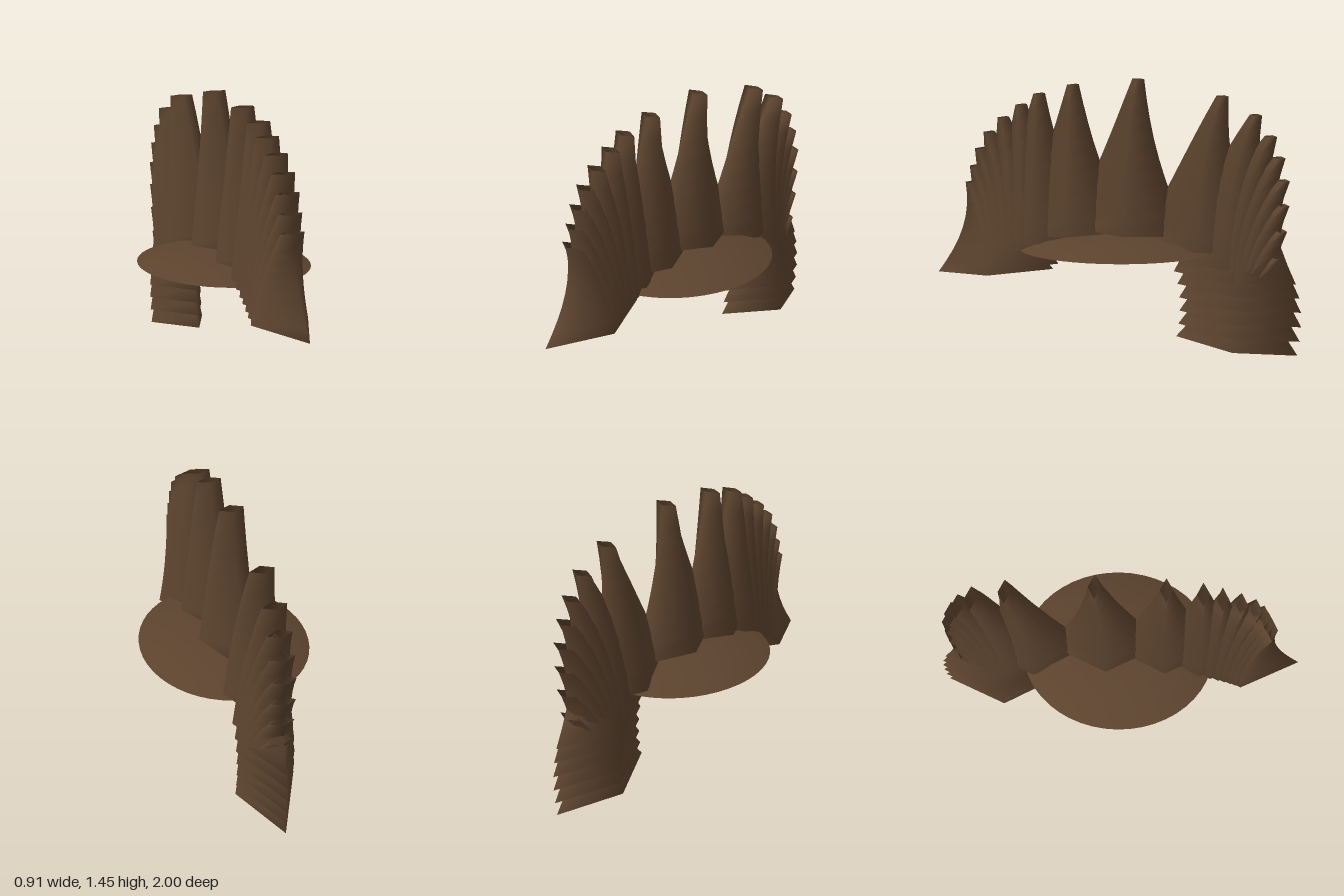
import * as THREE from 'three';
import { mergeVertices } from 'three/addons/utils/BufferGeometryUtils.js';

const brown = new THREE.MeshStandardMaterial({ color: 0x5c432e, side: THREE.DoubleSide });
brown.name = 'dark brown';

// One open, four-sided lock: a wide diamond at the base, narrowing to a blunt tip
function lockGeometry([baseZ, baseY, tipZ, tipY, tilt]) {
  const raw = new THREE.CylinderGeometry(1, 1, 1, 4, 8, true);
  raw.deleteAttribute('uv');
  raw.deleteAttribute('normal');
  const geo = mergeVertices(raw);
  const p = geo.attributes.position;
  for (let i = 0; i < p.count; i++) {
    const t = p.getY(i) + 0.5;
    const halfWidth = THREE.MathUtils.lerp(0.16, 0.065, t);
    const halfDepth = THREE.MathUtils.lerp(0.325, 0.032, t) - 0.025 * Math.sin(Math.PI * t);
    const dz = p.getZ(i) * halfDepth;
    p.setXYZ(
      i,
      p.getX(i) * halfWidth,
      THREE.MathUtils.lerp(baseY, tipY, t) - tilt * dz,
      baseZ + (tipZ - baseZ) * Math.pow(t, 2.2) + dz
    );
  }
  geo.computeVertexNormals();
  return geo;
}

// Each row: base z, base y, tip z, tip y, forward tilt
const frontLocks = [
  [0.25, 0.62, 0.235, 1.42, 0.06],
  [0.44, 0.575, 0.42, 1.37, 0.06],
  [0.5, 0.54, 0.52, 1.31, 0.06],
  [0.545, 0.51, 0.62, 1.24, 0.06],
  [0.58, 0.485, 0.7, 1.16, 0.06],
  [0.615, 0.455, 0.75, 1.07, 0.06],
  [0.645, 0.43, 0.78, 0.975, 0.06],
  [0.675, 0.4, 0.805, 0.885, 0.06],
];
const middleLock = [[-0.065, 0.636, -0.118, 1.453, -0.05]];
const rearLocks = [
  [-0.455, 0.565, -0.565, 1.37, -0.07],
  [-0.6, 0.48, -0.74, 1.275, -0.07],
  [-0.638, 0.41, -0.82, 1.165, -0.07],
  [-0.658, 0.34, -0.865, 1.055, -0.08],
  [-0.668, 0.265, -0.89, 0.935, -0.085],
  [-0.67, 0.19, -0.89, 0.805, -0.095],
  [-0.664, 0.115, -0.88, 0.67, -0.105],
  [-0.653, 0.042, -0.86, 0.53, -0.115],
];

export function createModel() {
  const model = new THREE.Group();
  model.name = 'crest';

  // Row of locks from front to back
  for (const [name, rows] of [['frontLock', frontLocks], ['middleLock', middleLock], ['rearLock', rearLocks]]) {
    const row = new THREE.Group();
    row.name = name + 's';
    for (const lock of rows) {
      const mesh = new THREE.Mesh(lockGeometry(lock), brown);
      mesh.name = name;
      row.add(mesh);
    }
    model.add(row);
  }

  // Shallow oval cap, open below
  const profile = [[1, 0], [0.73, 0.047], [0.37, 0.072], [0, 0.084]];
  const cap = new THREE.Mesh(
    new THREE.LatheGeometry(profile.map(([r, y]) => new THREE.Vector2(r * 0.455, y)), 48),
    brown
  );
  cap.name = 'cap';
  cap.scale.z = 0.52 / 0.455;
  cap.position.y = 0.545;
  model.add(cap);

  return model;
}
